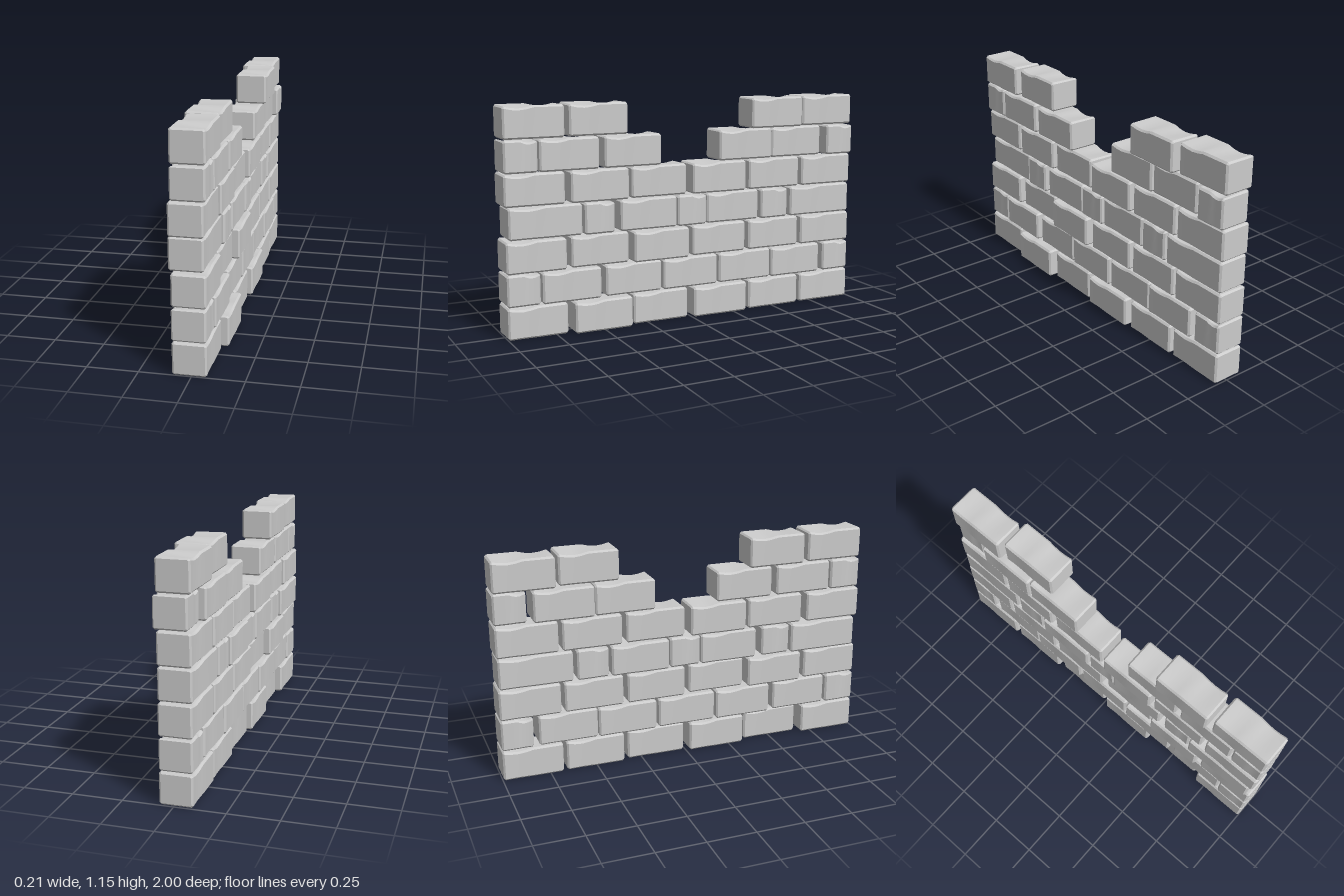
import * as THREE from 'three';
import { toCreasedNormals } from 'three/addons/utils/BufferGeometryUtils.js';

const WIDTH = 0.165, HEIGHT = 0.161, COURSE = 0.1655, BEVEL = 0.009;

// Courses from the ground up; each brick is [front z, back z, sideways offset]
const FULL = [[1, 0.69], [0.66, 0.35], [0.33, 0.02], [-0.01, -0.325], [-0.35, -0.66], [-0.68, -0.995]];
const STAGGERED = [[1, 0.83], [0.82, 0.51], [0.48, 0.17], [0.16, -0.155], [-0.17, -0.485], [-0.49, -0.8], [-0.83, -0.995]];
const MIXED = [[0.98, 0.6], [0.59, 0.43], [0.395, 0.08], [0.075, -0.09], [-0.1, -0.41], [-0.425, -0.59], [-0.61, -0.99]];
const X = null; // missing brick
const COURSES = [
  [FULL, [-0.01, 0.022, -0.01, 0.012, -0.005, -0.01]],
  [STAGGERED, [-0.012, -0.005, -0.015, -0.008, -0.012, -0.005, -0.01]],
  [FULL, [-0.01, -0.025, 0.008, -0.01, -0.012, -0.01]],
  [MIXED, [-0.025, -0.012, -0.015, -0.01, -0.02, -0.012, -0.01]],
  [FULL, [-0.02, -0.012, -0.025, -0.005, -0.012, -0.01]],
  [STAGGERED, [-0.01, -0.01, -0.01, X, -0.01, -0.018, 0.006]],
  [FULL, [-0.008, -0.022, X, X, 0.017, -0.01]],
];

// Rectangle with cut corners, used as the brick's cross-section
function section(w, h, c) {
  const x = w / 2, y = h / 2;
  return new THREE.Shape([
    [x - c, -y], [x, c - y], [x, y - c], [x - c, y],
    [c - x, y], [-x, y - c], [-x, c - y], [c - x, -y],
  ].map(([a, b]) => new THREE.Vector2(a, b)));
}

// Chamfered stone block with gently worn, wavy upper edges
function brickGeometry(length, flip) {
  const depth = length - 2 * BEVEL;
  const geo = new THREE.ExtrudeGeometry(section(WIDTH - 2 * BEVEL, HEIGHT - 2 * BEVEL, 0.004), {
    depth, steps: 8, bevelEnabled: true, bevelSegments: 1, bevelSize: BEVEL, bevelThickness: BEVEL,
  });
  geo.translate(0, 0, -depth / 2);
  const p = geo.attributes.position;
  for (let i = 0; i < p.count; i++) {
    const x = p.getX(i), y = p.getY(i), z = p.getZ(i);
    const wave = Math.sin((z / length) * Math.PI * 2) * Math.sign(x) * flip;
    if (y > 0) p.setY(i, y - 0.013 * Math.max(0, wave));
    p.setX(i, x - 0.003 * Math.sign(x) * Math.max(0, wave));
  }
  return toCreasedNormals(geo, 0.5);
}

export function createModel() {
  const wall = new THREE.Group();
  wall.name = 'brickWall';
  const material = new THREE.MeshStandardMaterial({ color: 0xcccccc });

  COURSES.forEach(([spans, offsets], row) => {
    const course = new THREE.Group();
    course.name = `course${row + 1}`;
    spans.forEach(([front, back], i) => {
      if (offsets[i] === X) return;
      // Half bricks are turned the other way round
      const brick = new THREE.Mesh(brickGeometry(front - back, front - back < 0.2 ? -1 : 1), material);
      brick.name = `brick${i + 1}`;
      brick.position.set(offsets[i], HEIGHT / 2 + row * COURSE, (front + back) / 2);
      course.add(brick);
    });
    wall.add(course);
  });
  return wall;
}
